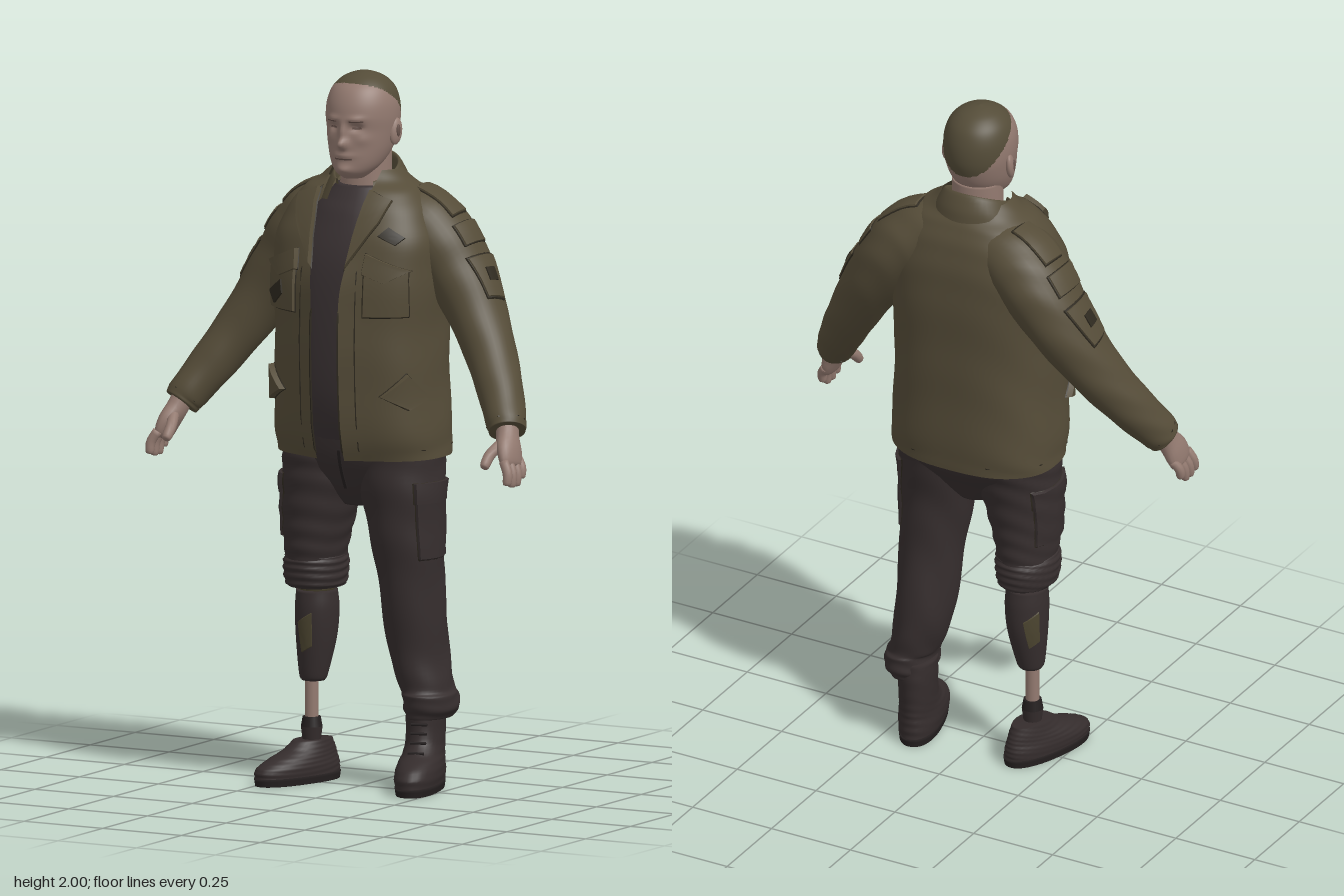
import * as THREE from 'three';
import { mergeVertices, toCreasedNormals } from 'three/addons/utils/BufferGeometryUtils.js';

const V = (x, y, z) => new THREE.Vector3(x, y, z);
const mat = (name, color, side = THREE.FrontSide) => new THREE.MeshStandardMaterial({ name, color, side });
const M = {
  jacket: mat('olive jacket', 0x554c38, THREE.DoubleSide), seam: mat('dark seam', 0x2e291f),
  trousers: mat('dark trousers', 0x362e2e), shirt: mat('charcoal shirt', 0x393132),
  skin: mat('skin', 0x937a70), feature: mat('face shade', 0x66524b), hair: mat('cropped hair', 0x544c38),
  boot: mat('boot leather', 0x342c2c), sole: mat('sole', 0x241f1f), patch: mat('socket panel', 0x4c4530),
};
const mesh = (name, geo, m) => { const o = new THREE.Mesh(geo, m); o.name = name; return o; };

// Smooth tube surface through rings [x, y, z, rx, rz, squareness]; u runs round it, v along it
function surface(rings, { flat = true, wrinkle = 0, bump } = {}) {
  const curve = f => new THREE.CatmullRomCurve3(rings.map(f), false, 'catmullrom', 0.5);
  const c = curve(r => V(r[0], r[1], r[2])), rad = curve(r => V(r[3], r[4], r[5] || 2));
  const S = { c };
  const base = (u, v) => {
    const o = c.getPoint(v), r = rad.getPoint(v), a = u * 2 * Math.PI;
    const t = flat ? V(0, 1, 0) : c.getTangent(v), f = V(0, 0, 1).addScaledVector(t, -t.z).normalize();
    const side = t.clone().cross(f), w = 1 + wrinkle * Math.sin(v * 45 + 3 * Math.sin(a) + 2 * Math.cos(2 * a));
    const pw = k => Math.sign(k) * Math.abs(k) ** (2 / r.z);
    const p = o.addScaledVector(side, Math.max(r.x, 0.001) * w * pw(Math.cos(a)))
      .addScaledVector(f, Math.max(r.y, 0.001) * w * pw(Math.sin(a)));
    if (bump) bump(p);
    return p;
  };
  S.at = (u, v, off = 0) => {
    v = THREE.MathUtils.clamp(v, 0, 1);
    const p = base(u, v);
    if (!off) return p;
    const du = base(u + 0.004, v).sub(base(u - 0.004, v));
    const dv = base(u, Math.min(v + 0.004, 1)).sub(base(u, Math.max(v - 0.004, 0)));
    return p.addScaledVector(dv.cross(du).normalize(), off);
  };
  S.vAt = y => {
    let a = 0, b = 1;
    for (let i = 0; i < 24; i++) { const m = (a + b) / 2; if (c.getPoint(m).y < y) a = m; else b = m; }
    return a;
  };
  S.uAt = (x, v) => {
    const r = rad.getPoint(v), k = THREE.MathUtils.clamp((x - c.getPoint(v).x) / r.x, -1, 1);
    return Math.acos(Math.sign(k) * Math.abs(k) ** (r.z / 2)) / (2 * Math.PI);
  };
  S.front = (x, y, off) => { const v = S.vAt(y); return S.at(S.uAt(x, v), v, off); };
  S.wrap = (u, y, off) => S.at(u, S.vAt(y), off);
  return S;
}
// Level rings given as [y, x, front z, back z, rx, squareness]
const level = (rows, o) => surface(rows.map(([y, x, f, b, rx, n]) => [x, y, (f + b) / 2, rx, (f - b) / 2, n]), o);

function loft(S, { nu = 32, nv = 32, u0 = () => 0, u1 = () => 1, cap = true } = {}) {
  const pos = [], idx = [], w = nu + 1;
  for (let i = 0; i <= nv; i++) for (let j = 0; j <= nu; j++) {
    const v = i / nv, a = u0(v);
    pos.push(...S.at(a + (u1(v) - a) * j / nu, v).toArray());
    if (i < nv && j < nu) { const k = i * w + j; idx.push(k, k + w, k + 1, k + 1, k + w, k + w + 1); }
  }
  if (cap) [0, 1].forEach(e => {
    const n = pos.length / 3, row = e * nv * w;
    pos.push(...S.c.getPoint(e).toArray());
    for (let j = 0; j < nu; j++) idx.push(n, row + j + e, row + j + 1 - e);
  });
  let g = new THREE.BufferGeometry().setAttribute('position', new THREE.Float32BufferAttribute(pos, 3));
  g.setIndex(idx);
  g = mergeVertices(g, 1e-5);
  g.computeVertexNormals();
  return g;
}

// Raised plate following a surface; corners are four [s, t] pairs
function plate(P, [a, b, c, d], h) {
  const st = [0, 0.04, 0.2, 0.4, 0.6, 0.8, 0.96, 1], n = st.length, pos = [], idx = [];
  const mix = (s, t, k) => (a[k] * (1 - s) + b[k] * s) * (1 - t) + (d[k] * (1 - s) + c[k] * s) * t;
  const at = (s, t, off) => P(mix(s, t, 0), mix(s, t, 1), off);
  const A = at(0.5, 0.5, 0), N = at(0.5, 0.5, 0.01).sub(A);
  const flip = at(0.6, 0.5, 0).sub(A).cross(at(0.5, 0.6, 0).sub(A)).dot(N) < 0;
  st.forEach((t, i) => st.forEach((s, j) => {
    const rim = i % (n - 1) === 0 || j % (n - 1) === 0;
    pos.push(...at(s, t, rim ? -0.002 : h).toArray());
    if (i < n - 1 && j < n - 1) {
      const k = i * n + j, q = [k, k + 1, k + n + 1, k, k + n + 1, k + n];
      idx.push(...(flip ? q.reverse() : q));
    }
  }));
  const g = new THREE.BufferGeometry().setAttribute('position', new THREE.Float32BufferAttribute(pos, 3));
  g.setIndex(idx);
  return toCreasedNormals(g, 0.6);
}
const rect = (s0, s1, t0, t1) => [[s0, t0], [s1, t0], [s1, t1], [s0, t1]];
// Plate with a dark stitched border
function pocket(group, name, P, q, h, m, grow = 1.09) {
  const cs = [0, 1].map(k => q.reduce((sum, p) => sum + p[k] / 4, 0));
  const big = q.map(p => p.map((x, k) => cs[k] + (x - cs[k]) * grow));
  group.add(mesh(name + 'Border', plate(P, big, 0.003), M.seam), mesh(name, plate(P, q, h), m));
}
function mirrored(group, name) {
  const out = group.clone();
  out.name = name;
  out.traverse(o => {
    if (!o.isMesh) return;
    const g = o.geometry = o.geometry.clone().scale(-1, 1, 1);
    const ix = g.index ? [...g.index.array] : [...Array(g.attributes.position.count).keys()];
    for (let i = 0; i < ix.length; i += 3) [ix[i], ix[i + 1]] = [ix[i + 1], ix[i]];
    g.setIndex(ix);
  });
  return out;
}
const part = (parent, name) => { const g = new THREE.Group(); g.name = name; parent.add(g); return g; };

function buildHead(root) {
  const g = part(root, 'head');
  // brow, nose, sockets, cheeks, mouth and chin: x, y, depth, width, height
  const bumps = [[0, 1.808, 0.024, 0.014, 0.014], [0, 1.84, 0.014, 0.011, 0.025], [0.036, 1.853, -0.012, 0.016, 0.01],
    [0.035, 1.878, 0.006, 0.022, 0.008], [0.055, 1.82, 0.005, 0.018, 0.015], [0, 1.775, 0.006, 0.03, 0.008], [0, 1.735, 0.01, 0.024, 0.014]];
  const bump = p => {
    if (p.z < 0.02) return;
    const x = Math.abs(p.x), y = p.y;
    for (const [bx, by, d, w, h] of bumps) p.z += d * Math.exp(-(((x - bx) / w) ** 2) - ((y - by) / h) ** 2);
  };
  const S = level([[1.708, 0, 0.07, 0, 0.028], [1.725, 0, 0.092, -0.03, 0.05], [1.75, 0, 0.098, -0.07, 0.07],
    [1.79, 0, 0.098, -0.106, 0.086], [1.84, 0, 0.096, -0.127, 0.096], [1.88, 0, 0.099, -0.132, 0.1], [1.92, 0, 0.092, -0.127, 0.097],
    [1.955, 0, 0.074, -0.112, 0.084], [1.98, 0, 0.045, -0.085, 0.06], [1.994, 0, 0.012, -0.052, 0.03], [2, 0, -0.018, -0.022, 0.002]], { bump });
  const geo = loft(S, { nu: 96, nv: 80 }), ix = geo.index.array, p = geo.attributes.position, sets = [[], []];
  for (let i = 0; i < ix.length; i += 3) {
    const t = [ix[i], ix[i + 1], ix[i + 2]];
    const y = t.reduce((s, k) => s + p.getY(k) / 3, 0), d = 0.08 - t.reduce((s, k) => s + p.getZ(k) / 3, 0);
    sets[y > 1.976 - 0.1 * d - 3.4 * d * d ? 1 : 0].push(...t);
  }
  geo.setIndex(sets.flat());
  geo.addGroup(0, sets[0].length, 0);
  geo.addGroup(sets[0].length, sets[1].length, 1);
  g.add(mesh('skull', geo, [M.skin, M.hair]));
  g.add(mesh('neck', loft(level([[1.6, 0, 0.04, -0.12, 0.085], [1.68, 0, 0.037, -0.105, 0.074], [1.78, 0, 0.03, -0.1, 0.072]])), M.skin));
  g.add(mesh('mouth', plate(S.front, rect(-0.028, 0.028, 1.764, 1.769), 0.002), M.feature));
  for (const s of [-1, 1]) {
    g.add(mesh('eye', plate(S.front, rect(s * 0.024, s * 0.048, 1.849, 1.856), 0.002), M.feature));
    g.add(mesh('eyebrow', plate(S.front, rect(s * 0.018, s * 0.056, 1.87, 1.874), 0.002), M.feature));
    const ear = mesh('ear', new THREE.SphereGeometry(1, 16, 12).scale(0.012, 0.038, 0.022), M.skin);
    ear.position.set(s * 0.098, 1.835, -0.025);
    ear.rotation.set(-0.2, s * -0.3, 0);
    const hollow = mesh('earHollow', new THREE.SphereGeometry(1, 12, 8).scale(0.004, 0.018, 0.009), M.feature);
    hollow.position.set(s * 0.108, 1.838, -0.023);
    g.add(ear, hollow);
  }
}

function buildJacket(root) {
  const g = part(root, 'jacket');
  // the open front edges stand proud of the chest
  const bump = p => { if (p.z > 0) p.z += 0.03 * Math.exp(-((p.x / 0.075) ** 2)) * THREE.MathUtils.smoothstep(1.6 - p.y, 0, 0.2); };
  const S = level([[0.935, 0, 0.145, -0.2, 0.245, 2.5], [1, 0, 0.168, -0.205, 0.245, 2.6], [1.15, 0, 0.182, -0.205, 0.238, 2.6],
    [1.3, 0, 0.184, -0.206, 0.238, 2.6], [1.45, 0, 0.175, -0.207, 0.246, 2.7], [1.55, 0, 0.155, -0.2, 0.24, 2.7],
    [1.62, 0, 0.128, -0.185, 0.21, 2.6], [1.67, 0, 0.1, -0.163, 0.175, 2.4], [1.7, 0, 0.07, -0.142, 0.135, 2], [1.73, 0, 0.05, -0.125, 0.1, 2]], { wrinkle: 0.005, bump });
  const edge = (y, s) => s * (0.043 + 0.035 * THREE.MathUtils.smoothstep(y, 1.35, 1.68));
  const yAt = v => S.c.getPoint(v).y;
  g.add(mesh('body', loft(S, { nu: 72, nv: 54, cap: false, u0: v => S.uAt(edge(yAt(v), -1), v), u1: v => 1 + S.uAt(edge(yAt(v), 1), v) }), M.jacket));
  for (const s of [-1, 1]) {
    const box = (x0, x1, y0, y1) => rect(s * x0, s * x1, y0, y1);
    g.add(mesh('placketSeam', plate(S.front, box(0.085, 0.088, 0.95, 1.48), 0.002), M.seam));
    g.add(mesh('openingEdge', plate(S.front, box(0.041, 0.045, 0.95, 1.36), 0.003), M.seam));
    pocket(g, 'chestPocket', S.front, box(0.105, 0.215, 1.34, 1.47), 0.01, M.jacket, 1.045);
    pocket(g, 'chestFlap', S.front, [[s * 0.1, 1.46], [s * 0.16, 1.435], [s * 0.222, 1.47], [s * 0.105, 1.52]], 0.016, M.jacket, 1.05);
    const turn = u => s > 0 ? u : 0.5 - u;
    pocket(g, 'hipFlap', S.wrap, [[turn(0.03), 1.11], [turn(0.09), 1.08], [turn(0.16), 1.12], [turn(0.09), 1.185]], 0.018, M.jacket, 1.06);
    pocket(g, 'lapel', S.front, [[s * 0.052, 1.47], [s * 0.13, 1.6], [s * 0.145, 1.655], [s * 0.078, 1.685]], 0.014, M.jacket, 1.04);
  }
  g.add(mesh('hemSeam', plate(S.wrap, rect(0.42, 1.08, 0.962, 0.965), 0.002), M.seam));
  g.add(mesh('chestPatch', plate(S.front, [[0.13, 1.565], [0.18, 1.54], [0.2, 1.56], [0.155, 1.59]], 0.006), M.seam));
  g.add(mesh('pocketPatch', plate(S.front, [[-0.205, 1.39], [-0.18, 1.355], [-0.145, 1.39], [-0.15, 1.43]], 0.015), M.seam));
  // Collar tilts down towards the front
  const collar = level([[1.69, 0, 0.09, -0.15, 0.132], [1.725, 0, 0.078, -0.143, 0.115], [1.765, 0, 0.055, -0.122, 0.094],
    [1.755, 0, 0.045, -0.112, 0.086], [1.7, 0, 0.045, -0.11, 0.085]], { bump: p => { p.y -= Math.max(0, p.z + 0.12) * 0.45; } });
  g.add(mesh('collar', loft(collar, { nu: 40, nv: 16, cap: false, u0: () => 0.36, u1: () => 1.14 }), M.jacket));
  const shirt = level([[0.94, 0, 0.11, -0.17, 0.2, 2.4], [1.1, 0, 0.155, -0.17, 0.2, 2.4], [1.3, 0, 0.163, -0.17, 0.2, 2.4], [1.48, 0, 0.148, -0.17, 0.2, 2.3],
    [1.6, 0, 0.104, -0.15, 0.155, 2], [1.65, 0, 0.07, -0.13, 0.115, 2], [1.685, 0, 0.042, -0.113, 0.082, 2]]);
  root.add(mesh('shirt', loft(shirt), M.shirt));
}

function buildArm(root) {
  const g = part(root, 'leftArm');
  // sleeve runs on into the shoulder yoke
  const S = surface([[0.518, 1.045, 0.09, 0.05, 0.054], [0.505, 1.07, 0.075, 0.055, 0.06], [0.45, 1.16, 0.018, 0.064, 0.069], [0.375, 1.28, -0.04, 0.074, 0.083],
    [0.288, 1.42, -0.077, 0.09, 0.106], [0.212, 1.525, -0.08, 0.102, 0.12], [0.145, 1.583, -0.072, 0.1, 0.115], [0.05, 1.62, -0.065, 0.085, 0.095]], { flat: false, wrinkle: 0.012 });
  g.add(mesh('sleeve', loft(S, { nu: 36, nv: 52 }), M.jacket));
  g.add(mesh('cuffSeam', plate(S.at, rect(0, 1, 0.111, 0.117), 0.002), M.seam));
  pocket(g, 'epaulette', S.at, rect(-0.06, 0.055, 0.745, 0.9), 0.007, M.jacket, 1.06);
  pocket(g, 'upperPatch', S.at, rect(-0.08, 0.08, 0.645, 0.715), 0.006, M.jacket, 1.08);
  pocket(g, 'lowerPatch', S.at, [[-0.06, 0.495], [0.07, 0.495], [0.1, 0.61], [-0.09, 0.61]], 0.006, M.jacket, 1.08);
  g.add(mesh('patchMark', plate(S.at, rect(-0.025, 0.035, 0.535, 0.57), 0.009), M.seam));
  // Hand with four fingers and a thumb
  const hand = surface([[0.512, 1.07, 0.08, 0.03, 0.034], [0.525, 1.03, 0.1, 0.03, 0.036], [0.54, 0.995, 0.118, 0.027, 0.048], [0.552, 0.96, 0.128, 0.02, 0.046], [0.556, 0.95, 0.13, 0.008, 0.03]], { flat: false });
  g.add(mesh('palm', loft(hand, { nu: 20, nv: 14 }), M.skin));
  const finger = (name, a, b, c, r) => g.add(mesh(name, loft(surface([[...a, r, r], [...b, r, r], [...c.map((x, i) => x * 0.85 + b[i] * 0.15), r * 0.85, r * 0.85], [...c, 0.003, 0.003]], { flat: false }), { nu: 12, nv: 10 }), M.skin));
  for (let i = 0; i < 4; i++) {
    const z = 0.088 + i * 0.026, dip = i === 0 ? 0.018 : i === 3 ? 0.008 : 0;
    finger('finger', [0.55, 0.972, z], [0.566, 0.938 + dip / 2, z + 0.008], [0.568, 0.9 + dip, z + 0.014], 0.0135);
  }
  finger('thumb', [0.523, 1.02, 0.12], [0.507, 0.99, 0.165], [0.505, 0.955, 0.2], 0.0155);
  root.add(mirrored(g, 'rightArm'));
}

function buildFoot(root, name, x, z, turn, rows) {
  const g = part(root, name);
  const sole = [[0, 0, 0.18, -0.115, 0.056, 2.3], [0.022, 0, 0.184, -0.118, 0.059, 2.3]];
  g.add(mesh('sole', loft(level(sole), { nv: 4 }), M.sole));
  g.add(mesh('upper', loft(level(rows, { wrinkle: 0.008 })), M.boot));
  g.position.set(x, 0, z);
  g.rotation.y = turn;
  return g;
}

function buildLegs(root) {
  const hips = level([[0.79, 0, 0.04, -0.09, 0.06], [0.85, 0, 0.082, -0.13, 0.15, 2.1], [0.93, 0, 0.115, -0.178, 0.225, 2.3], [1.04, 0, 0.13, -0.17, 0.21, 2.4]]);
  root.add(mesh('hips', loft(hips), M.trousers));
  root.add(mesh('fly', plate(hips.front, rect(-0.005, 0.005, 0.84, 0.96), 0.004), M.sole));
  const left = part(root, 'leftLeg');
  const L = level([[0.2, 0.185, 0.02, -0.15, 0.055], [0.225, 0.188, 0.03, -0.163, 0.07], [0.262, 0.188, 0.04, -0.163, 0.069], [0.29, 0.175, 0.032, -0.155, 0.07], [0.4, 0.153, 0.045, -0.155, 0.08],
    [0.6, 0.145, 0.075, -0.13, 0.09], [0.75, 0.133, 0.095, -0.125, 0.105], [0.88, 0.12, 0.107, -0.142, 0.12], [0.98, 0.115, 0.11, -0.172, 0.12]], { wrinkle: 0.018 });
  left.add(mesh('trouserLeg', loft(L, { nu: 40, nv: 60 }), M.trousers));
  pocket(left, 'cargoPocket', L.wrap, rect(-0.13, 0.12, 0.65, 0.82), 0.007, M.trousers, 1.025);
  pocket(left, 'cargoFlap', L.wrap, rect(-0.135, 0.125, 0.81, 0.87), 0.01, M.trousers, 1.04);
  const boot = buildFoot(left, 'leftBoot', 0.175, -0.042, 0.27, [[0.018, 0, 0.182, -0.115, 0.057, 2.3], [0.05, 0, 0.182, -0.115, 0.062, 2.2], [0.08, 0, 0.15, -0.113, 0.06],
    [0.105, 0, 0.09, -0.112, 0.055], [0.14, 0, 0.054, -0.112, 0.053], [0.2, 0, 0.045, -0.112, 0.054], [0.25, 0, 0.042, -0.105, 0.054]]);
  for (let i = 0; i < 4; i++) {
    const lace = mesh('lace', new THREE.CylinderGeometry(0.004, 0.004, 0.045, 8).rotateZ(Math.PI / 2), M.sole);
    lace.position.set(0, 0.11 + i * 0.025, [0.08, 0.056, 0.048, 0.044][i]);
    boot.add(lace);
  }

  const right = part(root, 'rightLeg');
  const R = level([[0.58, -0.15, 0.07, -0.115, 0.075], [0.65, -0.148, 0.09, -0.12, 0.082], [0.75, -0.138, 0.1, -0.125, 0.1], [0.88, -0.12, 0.107, -0.142, 0.12], [0.98, -0.115, 0.11, -0.172, 0.12]], { wrinkle: 0.018 });
  right.add(mesh('trouserLeg', loft(R, { nu: 40, nv: 44 }), M.trousers));
  pocket(right, 'cargoPocket', R.wrap, rect(0.37, 0.62, 0.69, 0.82), 0.007, M.trousers, 1.025);
  pocket(right, 'cargoFlap', R.wrap, rect(0.365, 0.625, 0.81, 0.87), 0.01, M.trousers, 1.04);
  right.add(mesh('rolledCuff', loft(level([[0.545, -0.15, 0.05, -0.1, 0.062], [0.555, -0.152, 0.075, -0.118, 0.08], [0.595, -0.152, 0.085, -0.125, 0.086], [0.63, -0.15, 0.085, -0.12, 0.084], [0.645, -0.15, 0.07, -0.1, 0.066]], { wrinkle: 0.025 })), M.trousers));
  // Prosthetic: socket, pylon and ankle
  const K = level([[0.28, -0.165, 0.005, -0.06, 0.032], [0.3, -0.164, 0.015, -0.07, 0.04], [0.4, -0.158, 0.03, -0.095, 0.055], [0.48, -0.155, 0.035, -0.098, 0.06], [0.535, -0.155, 0.03, -0.09, 0.057]]);
  right.add(mesh('socket', loft(K), M.trousers));
  right.add(mesh('liner', loft(level([[0.53, -0.155, 0.02, -0.08, 0.048], [0.57, -0.155, 0.02, -0.08, 0.048]]), { nv: 2 }), M.patch));
  for (const u of [0.25, 0.62]) right.add(mesh('socketPanel', plate(K.wrap, [[u - 0.06, 0.38], [u + 0.04, 0.36], [u + 0.075, 0.45], [u - 0.05, 0.48]], 0.003), M.patch));
  const rod = (name, r0, r1, y0, y1, m) => {
    const o = mesh(name, new THREE.CylinderGeometry(r1, r0, y1 - y0, 24), m);
    o.position.set(-0.17, (y0 + y1) / 2, -0.027);
    right.add(o);
  };
  rod('pylon', 0.019, 0.019, 0.13, 0.3, M.skin);
  rod('ankleClamp', 0.024, 0.03, 0.1, 0.15, M.boot);
  rod('clampCollar', 0.03, 0.025, 0.15, 0.178, M.sole);
  buildFoot(right, 'rightShoe', -0.178, -0.01, -0.3, [[0.018, 0, 0.182, -0.115, 0.057, 2.3], [0.045, 0, 0.18, -0.115, 0.058, 2.2], [0.068, 0, 0.14, -0.11, 0.053],
    [0.09, 0, 0.08, -0.102, 0.046], [0.115, 0, 0.04, -0.09, 0.039]]);
}

export function createModel() {
  const root = new THREE.Group();
  root.name = 'standingMan';
  [buildHead, buildJacket, buildArm, buildLegs].forEach(build => build(root));
  return root;
}
